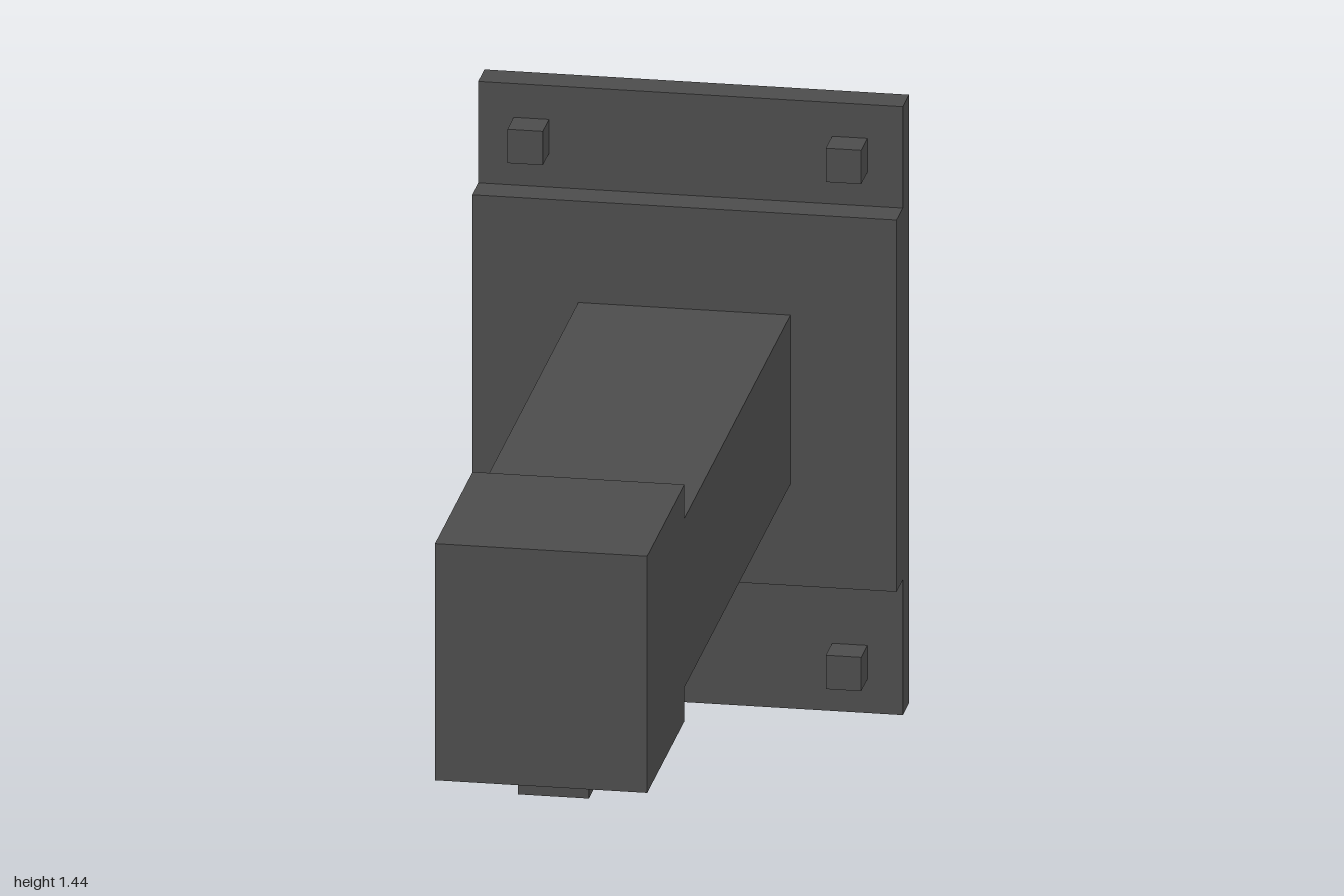
import * as THREE from 'three';

export function createModel() {
  const model = new THREE.Group();
  model.name = 'wallBracket';

  const darkGrey = new THREE.MeshStandardMaterial({ color: 0x4d4d4d });
  darkGrey.name = 'darkGrey';

  // Box given by its size and centre
  const addBox = (name, size, centre) => {
    const mesh = new THREE.Mesh(new THREE.BoxGeometry(...size), darkGrey);
    mesh.name = name;
    mesh.position.set(...centre);
    model.add(mesh);
  };

  // Wall mount: thin back plate with a raised pad
  addBox('backPlate', [0.96, 1.44, 0.08], [0, 0.72, -0.96]);
  addBox('raisedPad', [0.96, 0.88, 0.08], [0, 0.76, -0.88]);

  // Arm reaching forward to a taller head with a stud beneath
  addBox('arm', [0.48, 0.4, 1.36], [0, 0.76, -0.16]);
  addBox('head', [0.48, 0.56, 0.48], [0, 0.76, 0.76]);
  addBox('stud', [0.16, 0.08, 0.16], [0, 0.44, 0.76]);

  // Bolts at the four corners of the back plate
  for (const [side, x] of [['left', 0.36], ['right', -0.36]]) {
    for (const [level, y] of [['Upper', 1.32], ['Lower', 0.12]]) {
      addBox(`${side}${level}Bolt`, [0.08, 0.08, 0.08], [x, y, -0.88]);
    }
  }

  return model;
}
